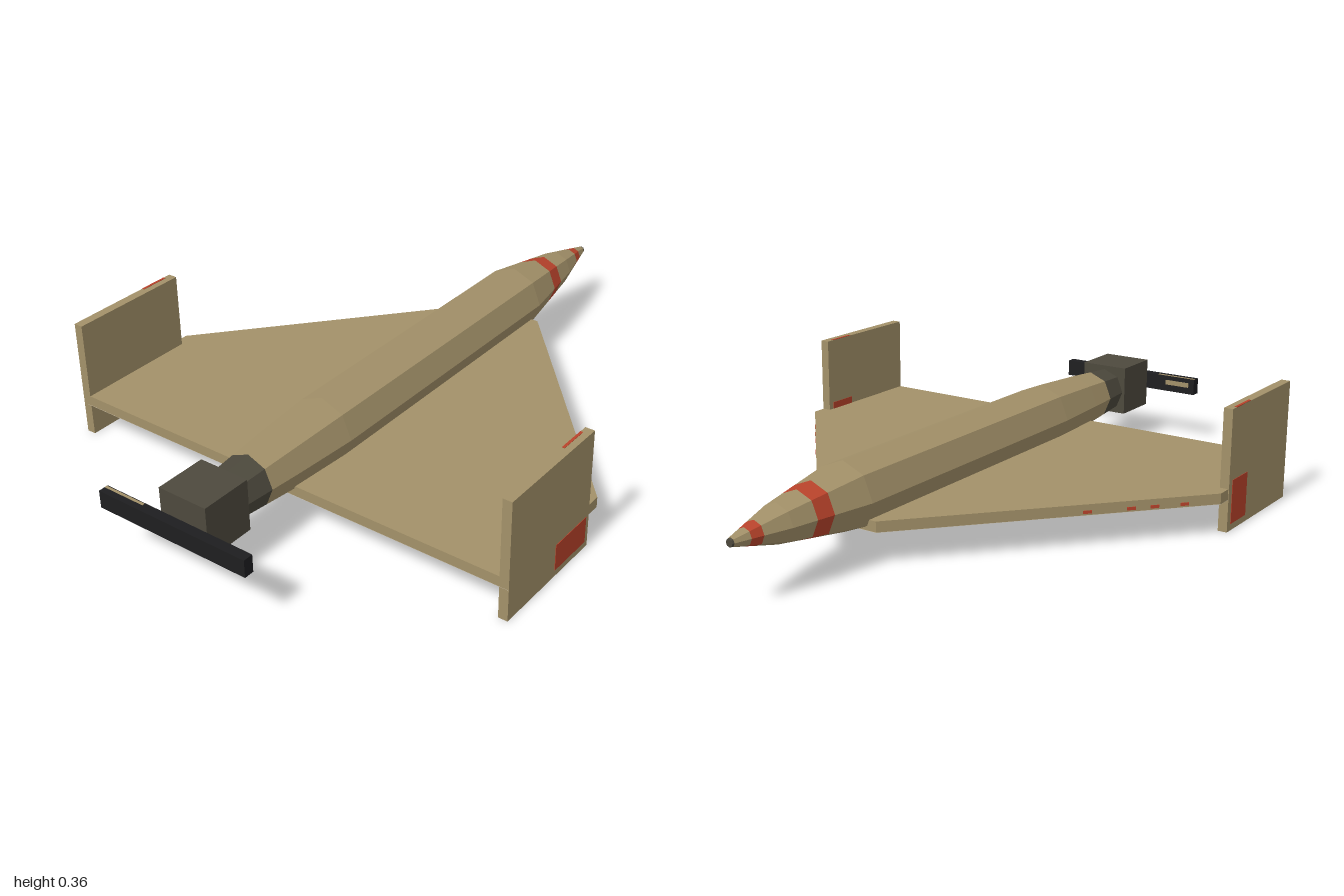
import * as THREE from 'three';

const mat = (name, color) => {
  const m = new THREE.MeshStandardMaterial({ color, flatShading: true });
  m.name = name;
  return m;
};

export function createModel() {
  const tan = mat('tan', 0xa39169);
  const pale = mat('paleUnderside', 0xd2c8b2);
  const red = mat('red', 0xb9432b);
  const dark = mat('motorGrey', 0x4d493d);
  const black = mat('propellerBlack', 0x1e1e20);

  const model = new THREE.Group();
  model.name = 'deltaWingDrone';

  const add = (name, geometry, material, x = 0, y = 0, z = 0) => {
    const mesh = new THREE.Mesh(geometry, material);
    mesh.name = name;
    mesh.position.set(x, y, z);
    model.add(mesh);
    return mesh;
  };
  // Box given by its lower and upper corners
  const box = (name, material, [x0, y0, z0], [x1, y1, z1]) =>
    add(name, new THREE.BoxGeometry(x1 - x0, y1 - y0, z1 - z0), material,
      (x0 + x1) / 2, (y0 + y1) / 2, (z0 + z1) / 2);

  // Fuselage: eight-sided profile of [z, radius], cut into coloured sections
  const axisY = 0.181;
  const profile = [[-1, 0.011], [-0.83, 0.056], [-0.57, 0.1], [0.4, 0.1], [0.6, 0.087], [0.8, 0.07]];
  const radiusAt = (z) => {
    const i = Math.max(1, profile.findIndex((p) => z <= p[0]));
    const [z0, r0] = profile[i - 1], [z1, r1] = profile[i];
    return r0 + (r1 - r0) * (z - z0) / (z1 - z0);
  };
  const sections = [
    ['noseCap', -1, -0.994, dark], ['noseTip', -0.994, -0.947, tan],
    ['noseStripe', -0.947, -0.912, red], ['noseCone', -0.912, -0.752, tan],
    ['noseBand', -0.752, -0.697, red], ['fuselage', -0.697, 0.703, tan],
    ['tailCollar', 0.703, 0.8, dark],
  ];
  for (const [name, z0, z1, material] of sections) {
    const stops = [z0, ...profile.map((p) => p[0]).filter((z) => z > z0 && z < z1), z1];
    const points = stops.map((z) => new THREE.Vector2(radiusAt(z), z));
    if (z0 === -1) points.unshift(new THREE.Vector2(0, -1));
    if (z1 === 0.8) points.push(new THREE.Vector2(0, 0.8));
    add(name, new THREE.LatheGeometry(points, 8), material, 0, axisY, 0).rotation.x = Math.PI / 2;
  }

  // Delta wing with a pale skin underneath
  const plan = new THREE.Shape([[-0.1, -0.56], [0.1, -0.56], [0.738, 0.17], [0.738, 0.6], [-0.738, 0.6], [-0.738, 0.17]]
    .map(([x, z]) => new THREE.Vector2(x, z)));
  const slab = (depth) => new THREE.ExtrudeGeometry(plan, { depth, bevelEnabled: false }).rotateX(Math.PI / 2);
  add('wing', slab(0.031), tan, 0, 0.128, 0);
  add('wingUnderside', slab(0.001), pale, 0, 0.097, 0);

  // Small red flecks along the outer leading edges
  const sweep = Math.atan2(0.73, 0.638);
  for (const s of [1, -1])
    for (const t of [0.6, 0.73, 0.8, 0.89]) {
      const fleck = add('leadingEdgeFleck', new THREE.BoxGeometry(0.025, 0.009, 0.003), red,
        s * (0.1 + 0.638 * t), 0.106, -0.56 + 0.73 * t);
      fleck.rotation.y = -s * sweep;
    }

  // Wingtip fins: long low panels face left, short tall panels face right
  for (const [side, s] of [['left', 1], ['right', -1]]) {
    const x = s * 0.726;
    add(side + 'Fin', new THREE.BoxGeometry(0.028, 0.36, 0.385), tan, x, 0.18, 0.4075);
    box(side + 'FinLongPanel', red, [x + 0.012, 0.02, 0.23], [x + 0.0155, 0.1, 0.38]);
    box(side + 'FinShortPanel', red, [x - 0.0155, 0.02, 0.235], [x - 0.012, 0.15, 0.33]);
    box(side + 'FinTopMark', red, [x - 0.014, 0.359, 0.24], [x - 0.006, 0.361, 0.33]);
  }

  // Motor block and pusher propeller
  box('motor', dark, [-0.078, 0.109, 0.795], [0.078, 0.264, 0.95]);
  box('propeller', black, [-0.245, 0.161, 0.97], [0.245, 0.213, 1]);
  // Tan wear marks on the right blade
  box('bladeTopMark', tan, [-0.244, 0.211, 0.973], [-0.11, 0.214, 0.981]);
  box('bladeFrontMark', tan, [-0.225, 0.183, 0.969], [-0.14, 0.199, 0.971]);

  return model;
}
